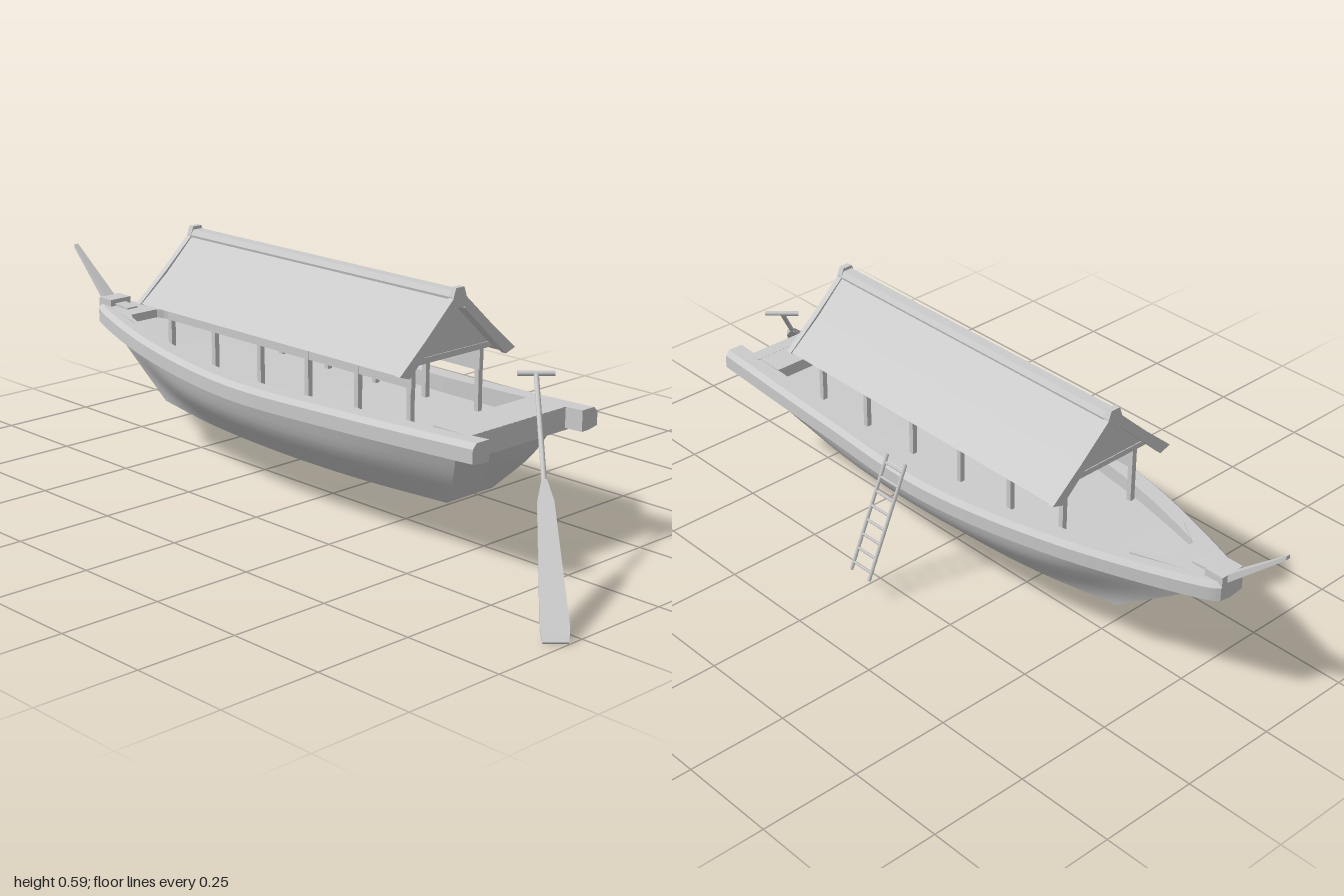
import * as THREE from 'three';
import { toCreasedNormals } from 'three/addons/utils/BufferGeometryUtils.js';

const V = (x, y, z) => new THREE.Vector3(x, y, z);
const grey = new THREE.MeshStandardMaterial({ color: 0xcccccc });

function add(parent, name, geo, x = 0, y = 0, z = 0) {
  const mesh = new THREE.Mesh(geo, grey);
  mesh.name = name;
  mesh.position.set(x, y, z);
  parent.add(mesh);
  return mesh;
}

const box = (parent, name, w, h, d, x, y, z) => add(parent, name, new THREE.BoxGeometry(w, h, d), x, y, z);

// Closed rings joined along +x, with fan caps at both ends
function loft(rings, crease = 0.5) {
  const n = rings[0].length, index = [], last = (rings.length - 1) * n;
  for (let i = 0; i < rings.length - 1; i++) {
    for (let j = 0; j < n; j++) {
      const a = i * n + j, b = i * n + (j + 1) % n;
      index.push(a, b, a + n, b, b + n, a + n);
    }
  }
  for (let j = 1; j < n - 1; j++) {
    index.push(0, j + 1, j, last, last + j, last + j + 1);
  }
  const geo = new THREE.BufferGeometry().setFromPoints(rings.flat());
  geo.setIndex(index);
  return toCreasedNormals(geo, crease);
}

// Round bar between two points
function bar(parent, name, a, b, r, sides = 8) {
  const dir = b.clone().sub(a);
  const mesh = add(parent, name, new THREE.CylinderGeometry(r, r, dir.length(), sides));
  mesh.position.copy(a).lerp(b, 0.5);
  mesh.quaternion.setFromUnitVectors(V(0, 1, 0), dir.normalize());
  return mesh;
}

// Outline in [z, y], extruded from x0 to x1
function slab(parent, name, pts, x0, x1) {
  const shape = new THREE.Shape(pts.map(([z, y]) => new THREE.Vector2(-z, y)));
  const geo = new THREE.ExtrudeGeometry(shape, { depth: x1 - x0, bevelEnabled: false });
  geo.rotateY(Math.PI / 2);
  return add(parent, name, geo, x0);
}

const curve = pts => new THREE.CatmullRomCurve3(pts.map(p => V(...p)));
const mirrorZ = p => V(p.x, p.y, -p.z);

function buildHull(boat) {
  // Lengthwise lines: x, y, half width
  const lines = [
    [[-0.85, 0.322, 0.036], [-0.5, 0.29, 0.15], [-0.12, 0.276, 0.206], [0.25, 0.275, 0.2], [0.575, 0.282, 0.165]],
    [[-0.72, 0.23, 0.042], [-0.4, 0.208, 0.142], [-0.1, 0.198, 0.176], [0.22, 0.198, 0.17], [0.535, 0.202, 0.132]],
    [[-0.57, 0.125, 0.045], [-0.32, 0.12, 0.085], [-0.05, 0.115, 0.098], [0.2, 0.115, 0.096], [0.465, 0.118, 0.076]],
  ].map(curve);
  const rings = [];
  for (let i = 0; i <= 32; i++) {
    const half = new THREE.CatmullRomCurve3(lines.map(l => l.getPoint(i / 32))).getPoints(8);
    rings.push([...half, ...half.map(mirrorZ).reverse()]);
  }
  add(boat, 'hull', loft(rings, 0.55));

  // Gunwale rails running back into two horns at the stern
  const sheer = curve([[-0.86, 0.335, 0.035], [-0.84, 0.333, 0.048], [-0.5, 0.322, 0.165],
    [-0.12, 0.312, 0.228], [0.25, 0.315, 0.217], [0.62, 0.328, 0.206], [0.66, 0.33, 0.205]]).getPoints(48);
  const rail = sheer.map(({ x, y, z: w }) => {
    const inner = Math.max(0, w - 0.052);
    return [V(x, y, inner), V(x, y, w - 0.012), V(x, y - 0.012, w),
      V(x, y - 0.045, w), V(x, y - 0.05, Math.max(inner, w - 0.03)), V(x, y - 0.05, inner)];
  });
  add(boat, 'leftToRightRailFront', loft(rail)).name = 'frontRail';
  add(boat, 'backRail', loft(rail.map(r => r.map(mirrorZ).reverse())));

  // Fore deck with a notched edge, aft deck and stern beam
  const edge = [[-0.855, 0.012], [-0.78, 0.04], [-0.64, 0.088], [-0.71, 0.042]];
  const outline = [...edge, ...edge.map(([x, z]) => [x, -z]).reverse()];
  const fore = new THREE.ExtrudeGeometry(
    new THREE.Shape(outline.map(p => new THREE.Vector2(...p))), { depth: 0.025, bevelEnabled: false });
  fore.rotateX(Math.PI / 2);
  add(boat, 'foreDeck', fore, 0, 0.33);
  box(boat, 'aftDeck', 0.11, 0.03, 0.32, 0.555, 0.312, 0);
  box(boat, 'sternBeam', 0.035, 0.055, 0.33, 0.592, 0.3, 0);

  // Raised prow pole on its block
  box(boat, 'prowBlock', 0.05, 0.025, 0.066, -0.835, 0.337, 0);
  const pole = [[-1, 0.467, 0.006, 0.01], [-0.85, 0.342, 0.017, 0.022], [-0.76, 0.334, 0.017, 0.014]]
    .map(([x, y, w, t]) => [V(x, y, -w), V(x, y, w), V(x, y - t, w), V(x, y - t, -w)]);
  add(boat, 'prowPole', loft(pole));
}

function buildCabin(boat) {
  const cabin = new THREE.Group();
  cabin.name = 'cabin';
  boat.add(cabin);
  for (const s of [-1, 1]) {
    for (let i = 0; i < 6; i++) {
      box(cabin, 'post', 0.013, 0.15, 0.013, -0.457 + i * 0.168, 0.35, s * 0.111);
    }
    box(cabin, 'sideBeam', 0.855, 0.055, 0.012, -0.036, 0.404, s * 0.111);
    // Roof slope, with thicker end boards
    const slope = (lift, drop) => [[0.184 + lift, 0.424], [0.1 + lift, 0.492 + lift], [0.016, 0.573 + lift],
      [0.016, 0.55 - drop], [0.157, 0.418 - drop]].map(([z, y]) => [s * z, y]);
    slab(cabin, 'roofSlope', slope(0, 0), -0.49, 0.415);
    for (const x of [-0.5, 0.41]) slab(cabin, 'endBoard', slope(0.004, 0.004), x, x + 0.015);
  }
  // Ridge cap and its end pieces
  const ridge = h => [[0.015, 0.549], [0.021, 0.575], [0.013, h], [-0.013, h], [-0.021, 0.575], [-0.015, 0.549]];
  slab(cabin, 'ridge', ridge(0.588), -0.49, 0.415);
  for (const x of [-0.5, 0.41]) slab(cabin, 'ridgeEnd', ridge(0.596), x, x + 0.015);
  // Gables and their tie beams
  for (const x of [-0.463, 0.378]) {
    slab(cabin, 'gable', [[0.14, 0.436], [0.022, 0.546], [-0.022, 0.546], [-0.14, 0.436]], x, x + 0.012);
    box(cabin, 'tieBeam', 0.016, 0.014, 0.29, x + 0.006, 0.434, 0);
  }
}

function buildLadder(root) {
  const ladder = new THREE.Group();
  ladder.name = 'ladder';
  root.add(ladder);
  const top = V(-0.02, 0.335, -0.209), foot = V(-0.02, 0.06, -0.329);
  for (const dx of [-0.032, 0.032]) {
    const off = V(dx, 0, 0);
    bar(ladder, 'ladderRail', top.clone().add(off), foot.clone().add(off), 0.0045, 6);
  }
  for (let i = 0; i < 8; i++) {
    const p = top.clone().lerp(foot, 0.07 + i * 0.123);
    bar(ladder, 'rung', p.clone().setX(-0.052), p.clone().setX(0.012), 0.0035, 6);
  }
}

function buildOar(root) {
  const oar = new THREE.Group();
  oar.name = 'oar';
  root.add(oar);
  const top = V(0.592, 0.418, -0.058), tip = V(0.98, 0.004, 0.308);
  const wide = V(0.68, 0, -0.733), along = tip.clone().sub(top);
  const thick = along.clone().cross(wide).normalize();
  const at = (t, w, h) => top.clone().addScaledVector(along, t).addScaledVector(wide, w).addScaledVector(thick, h);
  bar(oar, 'oarHandle', at(0, -0.042, 0), at(0, 0.042, 0), 0.006, 10);
  bar(oar, 'oarShaft', at(0, 0, 0), at(0.5, 0, 0), 0.006);
  // Blade widening towards its tip: distance, half width, half thickness
  const blade = [[0.42, 0.006, 0.006], [0.5, 0.018, 0.006], [0.95, 0.031, 0.004], [1, 0.027, 0.003]]
    .map(([t, w, h]) => [at(t, -w, h), at(t, -w, -h), at(t, w, -h), at(t, w, h)]);
  add(oar, 'oarBlade', loft(blade));
}

export function createModel() {
  const root = new THREE.Group();
  root.name = 'riverBoat';
  const boat = new THREE.Group();
  boat.name = 'boat';
  boat.position.z = 0.013;
  root.add(boat);
  buildHull(boat);
  buildCabin(boat);
  buildLadder(root);
  buildOar(root);
  return root;
}
